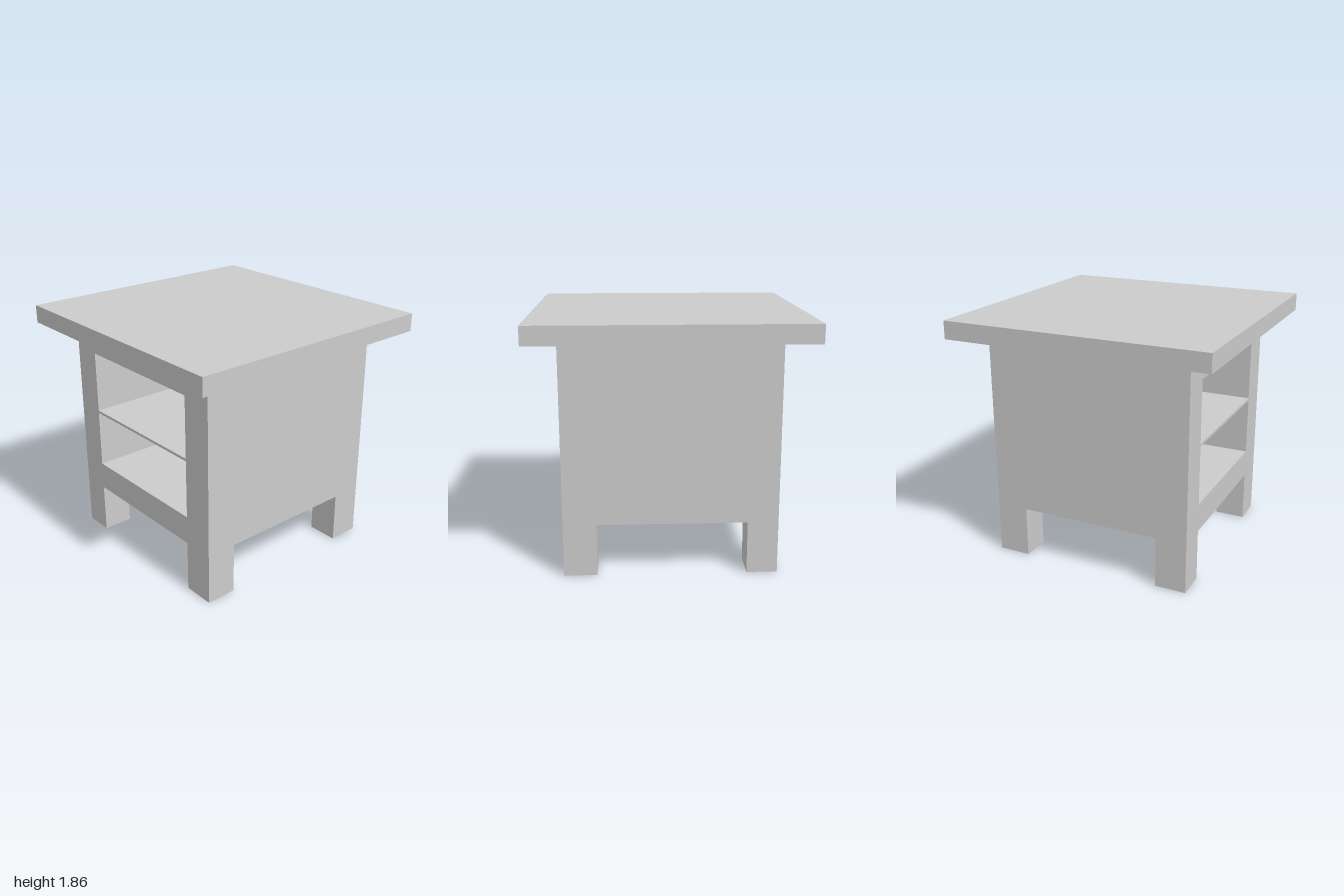
import * as THREE from 'three';

const material = new THREE.MeshStandardMaterial({ color: 0xcccccc });

function addMesh(parent, name, geometry) {
  const mesh = new THREE.Mesh(geometry, material);
  mesh.name = name;
  parent.add(mesh);
  return mesh;
}

// Box given by its lower and upper corners
function addBox(parent, name, [x0, y0, z0], [x1, y1, z1]) {
  const mesh = addMesh(parent, name, new THREE.BoxGeometry(x1 - x0, y1 - y0, z1 - z0));
  mesh.position.set((x0 + x1) / 2, (y0 + y1) / 2, (z0 + z1) / 2);
}

function traceRect(path, x0, y0, x1, y1) {
  path.moveTo(x0, y0);
  path.lineTo(x1, y0);
  path.lineTo(x1, y1);
  path.lineTo(x0, y1);
  path.closePath();
  return path;
}

export function createModel() {
  const model = new THREE.Group();
  model.name = 'sideTable';

  const half = 0.78;      // half width of the cabinet
  const legTop = 0.39;
  const caseTop = 1.725;
  const xInner = [-0.545, 0.535];  // inner faces of the legs
  const zInner = [-0.555, 0.54];

  // Table top
  addBox(model, 'tableTop', [-1, caseTop, -1], [1, 1.86, 1]);

  // Cabinet: side profile with two compartments, a thin shelf between them
  const profile = traceRect(new THREE.Shape(), -half, legTop, half, caseTop);
  for (const [y0, y1] of [[0.605, 1.05], [1.07, 1.54]]) {
    profile.holes.push(traceRect(new THREE.Path(), -zInner[1], y0, -zInner[0], y1));
  }
  const caseGeometry = new THREE.ExtrudeGeometry(profile, {
    depth: xInner[1] + half, bevelEnabled: false,
  });
  caseGeometry.rotateY(Math.PI / 2).translate(-half, 0, 0);
  addMesh(model, 'cabinetCase', caseGeometry);

  // Closed side behind the compartments
  addBox(model, 'cabinetBackPanel', [xInner[1], legTop, -half], [half, caseTop, half]);

  // Four corner legs
  const legs = new THREE.Group();
  legs.name = 'legs';
  model.add(legs);
  for (const [xName, x0, x1] of [['Right', -half, xInner[0]], ['Left', xInner[1], half]]) {
    for (const [zName, z0, z1] of [['back', -half, zInner[0]], ['front', zInner[1], half]]) {
      addBox(legs, `${zName}${xName}Leg`, [x0, 0, z0], [x1, legTop, z1]);
    }
  }

  return model;
}
